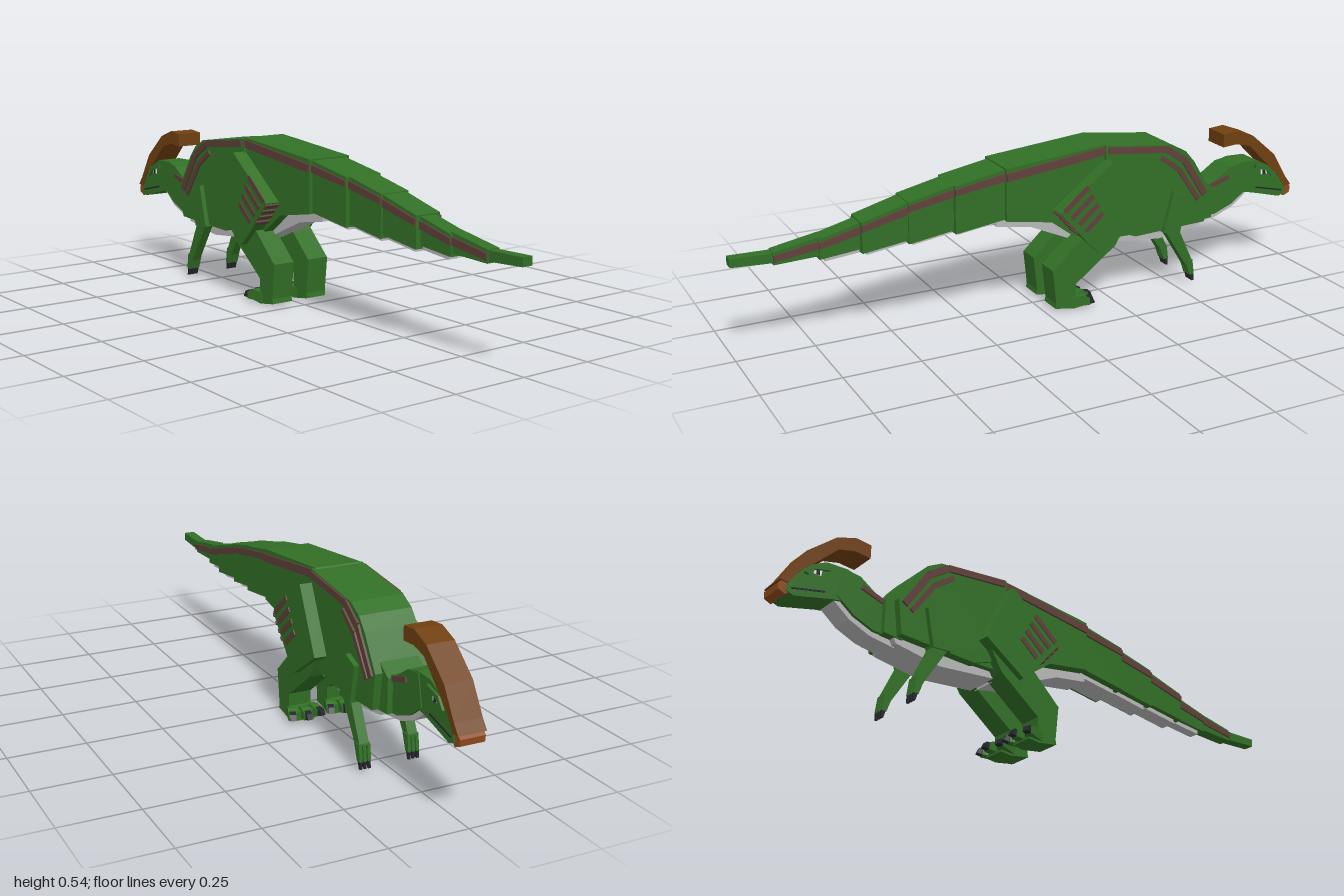
import * as THREE from 'three';

const mat = (name, color) => {
  const m = new THREE.MeshStandardMaterial({ color });
  m.name = name;
  return m;
};

export function createModel() {
  const root = new THREE.Group();
  root.name = 'crestedDinosaur';
  const green = mat('green skin', 0x327026);
  const belly = mat('pale belly', 0xb9b9b9);
  const brown = mat('stripe brown', 0x60403a);
  const crestMat = mat('crest brown', 0x704010);
  const beakMat = mat('beak brown', 0x8f4a1a);
  const claw = mat('claw black', 0x24262c);
  const white = mat('eye white', 0xf0f0f0);

  // Side outline of [z, y] points, extruded across x from x0 to x1
  const slab = (name, material, pts, x0, x1, parent = root) => {
    const shape = new THREE.Shape(pts.map(([z, y]) => new THREE.Vector2(-z, y)));
    const g = new THREE.ExtrudeGeometry(shape, { depth: Math.abs(x1 - x0), bevelEnabled: false });
    g.rotateY(Math.PI / 2).translate(Math.min(x0, x1), 0, 0);
    const mesh = new THREE.Mesh(g, material);
    mesh.name = name;
    parent.add(mesh);
    return mesh;
  };
  const mid = (name, material, pts, w) => slab(name, material, pts, -w, w);
  const both = (name, material, pts, x0, x1) => {
    for (const s of [1, -1]) slab((s > 0 ? 'left ' : 'right ') + name, material, pts, s * x0, s * x1);
  };
  // Straight band of given thickness between two [z, y] points
  const band = (a, b, t) => {
    const dz = b[0] - a[0], dy = b[1] - a[1], l = Math.hypot(dz, dy);
    const nz = -dy / l * t / 2, ny = dz / l * t / 2;
    return [[a[0] + nz, a[1] + ny], [b[0] + nz, b[1] + ny], [b[0] - nz, b[1] - ny], [a[0] - nz, a[1] - ny]];
  };

  // Tail: rear z, front z, half width, top rear/front, bottom rear/front
  const tail = [
    [1.0, 0.86, 0.018, 0.335, 0.332, 0.308, 0.300],
    [0.87, 0.72, 0.022, 0.335, 0.362, 0.295, 0.300],
    [0.73, 0.59, 0.029, 0.355, 0.390, 0.290, 0.303],
    [0.60, 0.44, 0.046, 0.392, 0.435, 0.292, 0.312],
    [0.45, 0.29, 0.053, 0.435, 0.470, 0.300, 0.322],
    [0.30, 0.12, 0.067, 0.468, 0.500, 0.312, 0.335],
  ];
  tail.forEach(([z0, z1, w, t0, t1, b0, b1], i) => {
    mid('tail segment', green, [[z0, t0], [z1, t1], [z1, b1], [z0, b0]], w);
    if (i > 0) {
      both('tail stripe', brown, [[z0, t0 - 0.010], [z1, t1 - 0.012], [z1, t1 - 0.037], [z0, t0 - 0.030]], w, w + 0.006);
    }
    if (i > 1) {
      mid('tail belly', belly, [[z0 - 0.02, b0 + 0.02], [z1, b1 + 0.02], [z1, b1 - 0.014], [z0 - 0.02, b0 - 0.012]], w * 0.62);
    }
  });

  // Hips and torso
  mid('hips', green, [[0.13, 0.503], [-0.23, 0.536], [-0.33, 0.30], [-0.33, 0.21],
    [-0.15, 0.212], [-0.03, 0.302], [0.13, 0.33]], 0.078);
  mid('torso', green, [[-0.22, 0.533], [-0.475, 0.502], [-0.525, 0.475], [-0.56, 0.435],
    [-0.625, 0.33], [-0.61, 0.215], [-0.34, 0.205], [-0.22, 0.25]], 0.087);
  mid('hip belly', belly, [[0.15, 0.34], [0.15, 0.305], [0.03, 0.285], [-0.15, 0.205],
    [-0.24, 0.185], [-0.24, 0.25], [-0.03, 0.325]], 0.042);
  mid('chest belly', belly, [[-0.14, 0.23], [-0.16, 0.20], [-0.45, 0.170], [-0.61, 0.195],
    [-0.63, 0.24]], 0.058);
  both('hip stripe', brown, band([0.13, 0.475], [-0.23, 0.517], 0.026), 0.078, 0.085);
  const back = [[-0.23, 0.517], [-0.45, 0.492], [-0.52, 0.445], [-0.605, 0.315]];
  back.slice(1).forEach((p, i) => both('back stripe', brown, band(back[i], p, 0.022), 0.087, 0.094));
  both('shoulder stripe', brown, band([-0.43, 0.465], [-0.50, 0.415], 0.016), 0.087, 0.093);
  both('shoulder stripe', brown, band([-0.50, 0.415], [-0.58, 0.30], 0.016), 0.087, 0.093);

  // Neck
  mid('neck base', green, [[-0.59, 0.37], [-0.655, 0.325], [-0.655, 0.215], [-0.59, 0.21]], 0.063);
  mid('neck', green, [[-0.62, 0.325], [-0.67, 0.335], [-0.735, 0.378], [-0.79, 0.385],
    [-0.81, 0.29], [-0.75, 0.245], [-0.68, 0.218], [-0.62, 0.215]], 0.046);
  mid('throat', belly, [[-0.60, 0.24], [-0.60, 0.19], [-0.69, 0.203], [-0.76, 0.232],
    [-0.815, 0.275], [-0.80, 0.30], [-0.70, 0.25]], 0.036);
  both('neck stripe', brown, band([-0.63, 0.315], [-0.73, 0.345], 0.016), 0.046, 0.051);

  // Head, mouth line and beak
  mid('head', green, [[-0.73, 0.375], [-0.78, 0.388], [-0.85, 0.386], [-0.91, 0.355],
    [-0.97, 0.285], [-0.975, 0.25], [-0.95, 0.241], [-0.83, 0.272], [-0.76, 0.285]], 0.043);
  both('brow', green, [[-0.84, 0.372], [-0.90, 0.358], [-0.925, 0.325], [-0.91, 0.322],
    [-0.89, 0.346], [-0.84, 0.358]], 0.04, 0.051);
  both('mouth', claw, band([-0.85, 0.288], [-0.96, 0.262], 0.005), 0.043, 0.045);
  mid('beak', beakMat, [[-0.96, 0.30], [-0.985, 0.285], [-1.0, 0.268], [-0.998, 0.248],
    [-0.975, 0.238], [-0.958, 0.255]], 0.040);

  // Eyes as thin plates
  both('eye', white, [[-0.865, 0.352], [-0.89, 0.344], [-0.893, 0.333], [-0.868, 0.333]], 0.043, 0.046);
  both('pupil', claw, [[-0.874, 0.349], [-0.885, 0.345], [-0.885, 0.333], [-0.874, 0.333]], 0.046, 0.048);

  // Swept-back crest
  mid('crest', crestMat, [[-0.705, 0.497], [-0.76, 0.502], [-0.825, 0.478], [-0.92, 0.398],
    [-0.975, 0.308], [-0.998, 0.278], [-0.97, 0.275], [-0.94, 0.322], [-0.88, 0.378],
    [-0.815, 0.442], [-0.76, 0.456], [-0.705, 0.452]], 0.045);

  // Hind legs
  both('thigh', green, [[-0.225, 0.49], [-0.325, 0.285], [-0.18, 0.187], [-0.14, 0.225], [-0.035, 0.345]], 0.05, 0.128);
  both('shin', green, [[-0.13, 0.245], [-0.29, 0.26], [-0.25, 0.195], [-0.10, 0.082], [-0.02, 0.142]], 0.03, 0.107);
  both('ankle', green, [[-0.02, 0.145], [-0.105, 0.085], [-0.10, 0.01], [-0.035, 0.01]], 0.03, 0.107);
  both('foot', green, [[-0.03, 0.012], [-0.035, 0.04], [-0.09, 0.045], [-0.14, 0.035], [-0.14, 0.004], [-0.10, 0]], 0.03, 0.107);

  // Thigh stripes wrapping round the rear edge
  for (let i = 0; i < 4; i++) {
    const a = [-0.050 - i * 0.026, 0.350 - i * 0.026];
    const b = [a[0] - 0.085 + i * 0.008, a[1] + 0.07 - i * 0.006];
    both('thigh stripe', brown, band(a, b, 0.017), 0.128, 0.131);
    both('thigh rear stripe', brown, band([-0.036 - i * 0.018, 0.340 - i * 0.0206],
      [-0.044 - i * 0.018, 0.331 - i * 0.0206], 0.008), 0.075, 0.129);
  }

  // Splayed toes with claws
  for (const s of [1, -1]) {
    for (const k of [-1, 0, 1]) {
      const toe = new THREE.Group();
      toe.name = 'toe';
      slab('toe pad', green, [[0.04, 0.006], [0.04, 0.034], [-0.015, 0.046], [-0.04, 0.036], [-0.04, 0.012]], -0.014, 0.014, toe);
      slab('toe claw', claw, [[-0.03, 0.04], [-0.05, 0.036], [-0.058, 0.018], [-0.035, 0.012]], -0.010, 0.010, toe);
      toe.position.set(s * 0.068 + k * 0.034, 0, -0.125 + Math.abs(k) * 0.012);
      toe.rotation.y = -k * 0.35;
      root.add(toe);
    }
  }

  // Arms
  both('upper arm', green, [[-0.475, 0.345], [-0.53, 0.325], [-0.505, 0.20], [-0.44, 0.205]], 0.062, 0.103);
  both('forearm', green, [[-0.445, 0.215], [-0.50, 0.212], [-0.56, 0.085], [-0.54, 0.065]], 0.066, 0.098);

  // Fingers with claws
  for (const s of [1, -1]) {
    for (const k of [-1, 0, 1]) {
      const x = s * 0.082 + k * 0.014;
      slab('finger', green, [[-0.53, 0.09], [-0.56, 0.09], [-0.568, 0.035], [-0.55, 0.035]], x - 0.005, x + 0.005);
      slab('finger claw', claw, [[-0.552, 0.038], [-0.567, 0.038], [-0.568, 0.012], [-0.56, 0.012]], x - 0.004, x + 0.004);
    }
  }
  return root;
}
